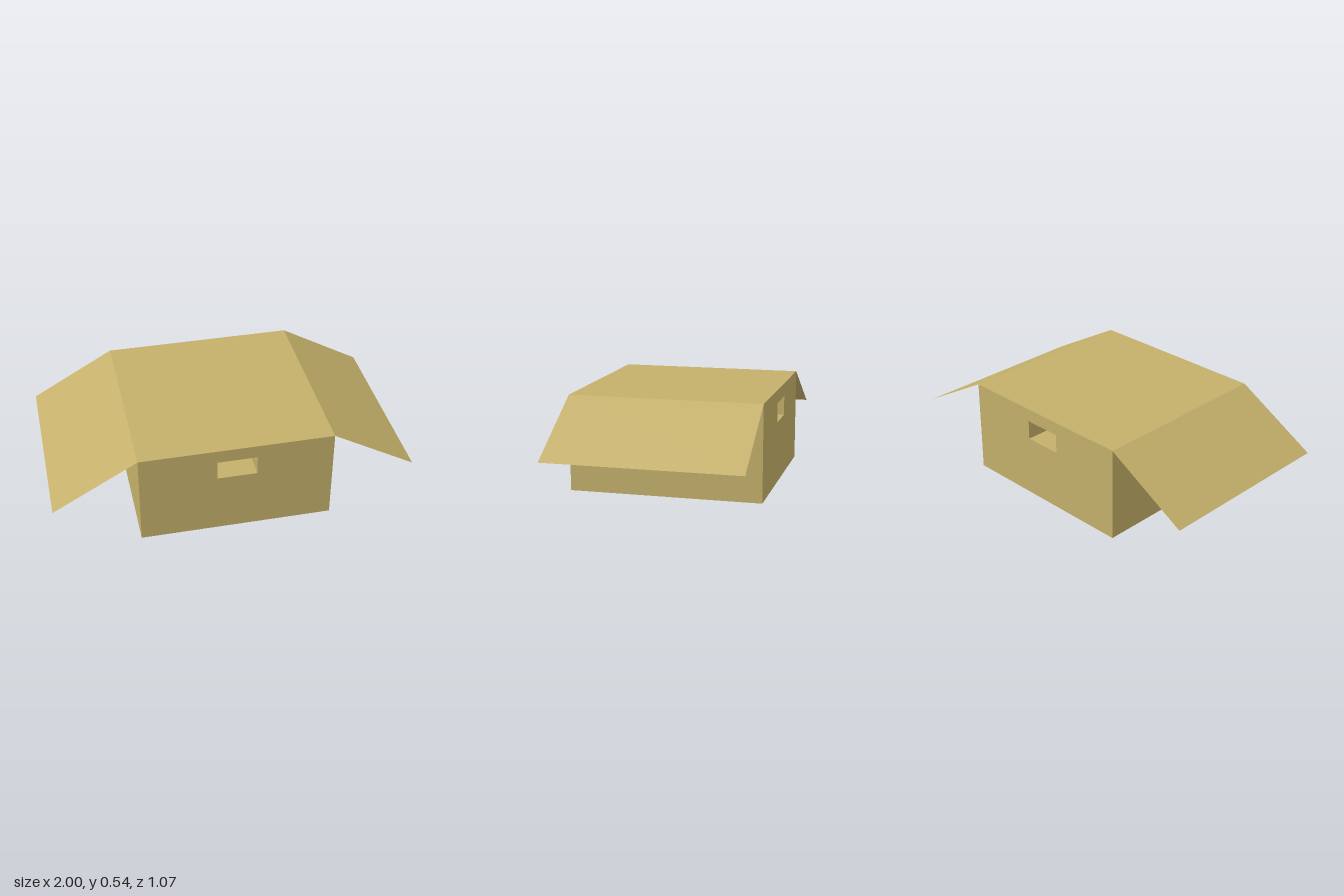
import * as THREE from 'three';

export function createModel() {
  const group = new THREE.Group();
  const card = new THREE.MeshStandardMaterial({ color: 0xc4b06a, side: THREE.DoubleSide });
  card.name = 'cardboard';

  const half = 0.535, height = 0.535;

  // Box body, pierced front to back by the hand hole
  const outline = new THREE.Shape([
    new THREE.Vector2(-half, 0), new THREE.Vector2(half, 0),
    new THREE.Vector2(half, height), new THREE.Vector2(-half, height),
  ]);
  outline.holes.push(new THREE.Path([
    new THREE.Vector2(-0.11, 0.35), new THREE.Vector2(-0.11, 0.46),
    new THREE.Vector2(0.11, 0.46), new THREE.Vector2(0.11, 0.35),
  ]));
  const bodyGeometry = new THREE.ExtrudeGeometry(outline, { depth: 2 * half, bevelEnabled: false });
  bodyGeometry.translate(0, 0, -half);
  const body = new THREE.Mesh(bodyGeometry, card);
  body.name = 'boxBody';
  group.add(body);

  // Paper-thin flaps sloping down from the top side edges
  const run = 1 - half, drop = height - 0.27;
  for (const side of [1, -1]) {
    const geometry = new THREE.PlaneGeometry(Math.hypot(run, drop), 2 * half);
    geometry.rotateX(-Math.PI / 2);
    const flap = new THREE.Mesh(geometry, card);
    flap.name = side > 0 ? 'leftFlap' : 'rightFlap';
    flap.rotation.z = -side * Math.atan2(drop, run);
    flap.position.set(side * (half + run / 2), height - drop / 2, 0);
    group.add(flap);
  }
  return group;
}
